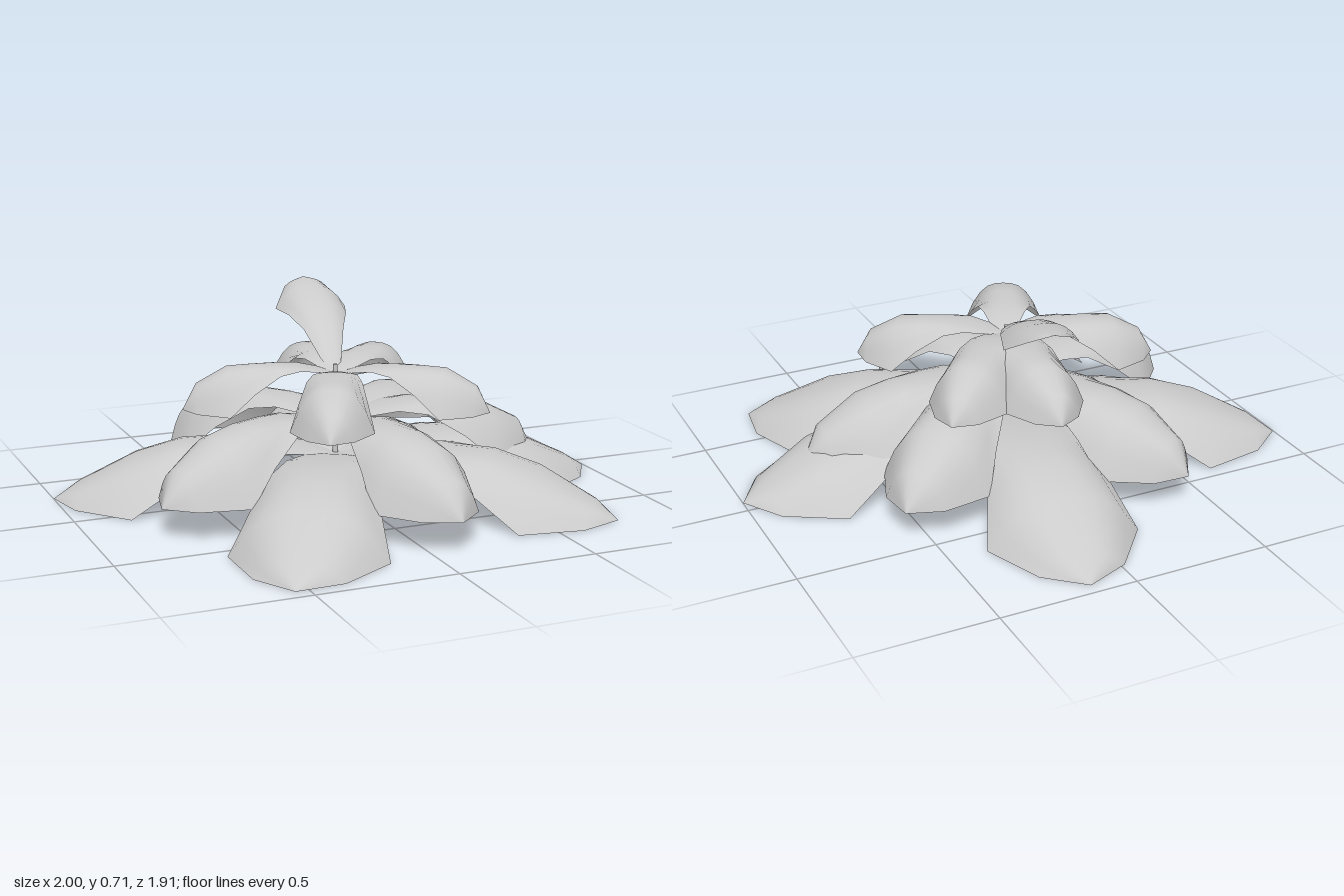
import * as THREE from 'three';

const AXIS = { x: -0.031, z: 0.058 };
const COLS = 10;

// One leaf along +x. Each row: [distance, half width, ridge height, edge height]
function leafGeometry(rows) {
  const positions = [], index = [];
  for (const [r, w, ridge, edge] of rows) {
    for (let j = 0; j <= COLS; j++) {
      const u = (j / COLS) * 2 - 1;
      // broad, nearly flat middle with steep shoulders
      positions.push(r, edge + (ridge - edge) * (1 - Math.abs(u) ** 2.8), u * w);
    }
  }
  const n = COLS + 1;
  for (let i = 0; i < rows.length - 1; i++) {
    for (let j = 0; j < COLS; j++) {
      const a = i * n + j, b = a + 1, c = a + n, d = c + 1;
      index.push(a, b, c, b, d, c);
    }
  }
  const geo = new THREE.BufferGeometry();
  geo.setAttribute('position', new THREE.Float32BufferAttribute(positions, 3));
  geo.setIndex(index);
  geo.computeVertexNormals();
  return geo;
}

// Outline shared by all drooping leaves: [distance, half width, edge height], as fractions
const OUTLINE = [
  [0, 0.03, 0.73], [0.12, 0.1, 0.85], [0.25, 0.14, 0.92], [0.38, 0.175, 0.85],
  [0.55, 0.217, 0.48], [0.71, 0.262, 0], [0.91, 0.145, 0], [1, 0, 0],
];

// Tiers from the ground up; ridge gives the fractional height along the midrib
const TIERS = [
  { name: 'lowerLeaf', length: 1.03, base: 0, height: 0.215, start: 40,
    ridge: [0.75, 0.88, 0.96, 1, 0.98, 0.75, 0.28, 0] },
  { name: 'middleLeaf', length: 0.79, base: 0.11, height: 0.23, start: 1,
    ridge: [0.75, 0.88, 0.97, 1, 1, 0.88, 0.52, 0] },
  { name: 'upperLeaf', length: 0.557, base: 0.34, height: 0.157, start: -45,
    ridge: [0.75, 0.88, 0.97, 1, 1, 0.97, 0.6, 0] },
];

// Young leaf that still points upwards
const YOUNG = [
  [0, 0.008, 0.44, 0.44], [0.1, 0.04, 0.505, 0.495], [0.22, 0.075, 0.6, 0.575],
  [0.33, 0.11, 0.65, 0.61], [0.46, 0.135, 0.693, 0.61], [0.56, 0.08, 0.705, 0.675],
  [0.595, 0, 0.706, 0.706],
];

export function createModel() {
  const model = new THREE.Group();
  model.name = 'leafyPlant';
  const material = new THREE.MeshStandardMaterial({ color: 0xcccccc, side: THREE.DoubleSide });

  const addLeaf = (name, geometry, degrees) => {
    const leaf = new THREE.Mesh(geometry, material);
    leaf.name = name;
    leaf.position.set(AXIS.x, 0, AXIS.z);
    leaf.rotation.y = -THREE.MathUtils.degToRad(degrees);
    model.add(leaf);
  };

  // Three tiers of five leaves, each turned 80 degrees from the one before
  for (const { name, length, base, height, start, ridge } of TIERS) {
    const rows = OUTLINE.map(([t, w, edge], i) =>
      [t * length, w * length, base + ridge[i] * height, base + edge * height]);
    const geometry = leafGeometry(rows);
    for (let i = 0; i < 5; i++) addLeaf(name + (i + 1), geometry, start + i * 80);
  }

  addLeaf('youngLeaf', leafGeometry(YOUNG), -80);

  // Thin central stem
  const stem = new THREE.Mesh(new THREE.CylinderGeometry(0.009, 0.011, 0.49, 8), material);
  stem.name = 'stem';
  stem.position.set(AXIS.x - 0.005, 0.245, AXIS.z - 0.003);
  model.add(stem);

  return model;
}
